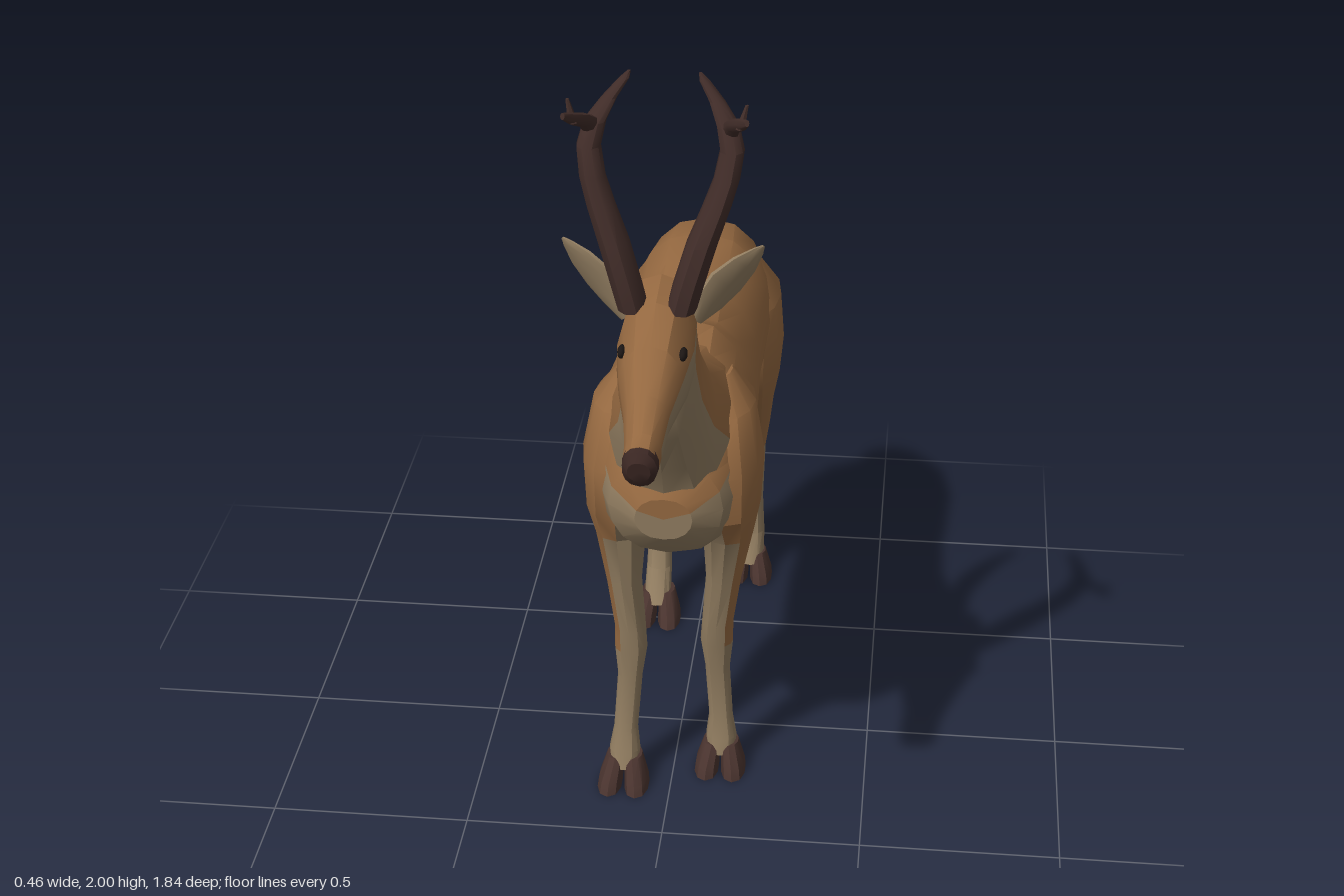
import * as THREE from 'three';
import { toCreasedNormals } from 'three/addons/utils/BufferGeometryUtils.js';

const mat = (name, color) => Object.assign(new THREE.MeshStandardMaterial({ color }), { name });

export function createModel() {
  const model = new THREE.Group();
  model.name = 'antelope';
  const fur = mat('brown fur', 0x946840);
  const pale = mat('pale fur', 0x8f7b5f);
  const horn = mat('antler', 0x402c28);
  const hoofMat = mat('hoof', 0x49332e);
  const noseMat = mat('nose', 0x3b2723);
  const eyeMat = mat('eye', 0x1c1614);

  // Skin a row of rings. Each ring: [z0, y0, z1, y1, half width, centre x]; it runs
  // from point 0 (angle 0) to point 1 (angle PI) and bulges sideways.
  // paint(ringIndex, angle) picks the material of a face.
  function loft(name, rings, paint, { side = 1, segs = 14, crease = 0.55 } = {}) {
    const pts = rings.map(([z0, y0, z1, y1, hw, xc = 0]) =>
      Array.from({ length: segs }, (_, j) => {
        const a = (j / segs) * Math.PI * 2, t = 0.5 - 0.5 * Math.cos(a), s = Math.sin(a);
        const x = xc + hw * Math.sign(s) * Math.abs(s) ** 0.85;
        return new THREE.Vector3(x * side, y0 + (y1 - y0) * t, z0 + (z1 - z0) * t);
      }));
    const faces = new Map();
    const add = (m, ...tri) => {
      if (!faces.has(m)) faces.set(m, []);
      faces.get(m).push(tri);
    };
    const last = rings.length - 1;
    const mid = (r) => r.reduce((s, p) => s.add(p), new THREE.Vector3()).divideScalar(segs);
    const c0 = mid(pts[0]), c1 = mid(pts[last]);
    for (let j = 0; j < segs; j++) {
      const k = (j + 1) % segs, a = ((j + 0.5) / segs) * Math.PI * 2;
      for (let i = 0; i < last; i++) {
        const m = paint(i, a), p = pts[i], q = pts[i + 1];
        add(m, p[j], p[k], q[k]);
        add(m, p[j], q[k], q[j]);
      }
      add(paint(0, a), c0, pts[0][k], pts[0][j]);
      add(paint(last - 1, a), c1, pts[last][j], pts[last][k]);
    }
    // Turn the skin outward whichever way the rings run
    let volume = 0;
    const cross = new THREE.Vector3();
    for (const list of faces.values())
      for (const [a, b, c] of list) volume += a.dot(cross.crossVectors(b, c));
    const pos = [], mats = [], geo = new THREE.BufferGeometry();
    for (const [m, list] of faces) {
      geo.addGroup(pos.length / 3, list.length * 3, mats.length);
      mats.push(m);
      for (const [a, b, c] of list)
        for (const v of volume > 0 ? [a, b, c] : [a, c, b]) pos.push(v.x, v.y, v.z);
    }
    geo.setAttribute('position', new THREE.Float32BufferAttribute(pos, 3));
    const mesh = new THREE.Mesh(toCreasedNormals(geo, crease), mats);
    mesh.name = name;
    model.add(mesh);
    return mesh;
  }
  const low = (a, limit) => 0.5 - 0.5 * Math.cos(a) < limit;
  const plain = (m) => () => m;

  // Torso: [z, bottom, top, half width], rump to chest
  const torso = [
    [-0.8, 0.92, 1.08, 0.06], [-0.77, 0.8, 1.13, 0.13], [-0.68, 0.75, 1.18, 0.17],
    [-0.52, 0.74, 1.205, 0.19], [-0.38, 0.74, 1.195, 0.185], [-0.25, 0.69, 1.18, 0.18],
    [-0.08, 0.69, 1.18, 0.187], [0.05, 0.7, 1.235, 0.19], [0.18, 0.7, 1.21, 0.19],
    [0.3, 0.71, 1.12, 0.178], [0.39, 0.765, 1.02, 0.14], [0.44, 0.83, 0.94, 0.07],
  ].map(([z, b, t, w]) => [z, b, z, t, w]);
  loft('torso', torso,
    (i, a) => (i < 1 || low(a, i >= 9 ? 0.75 : 0.3) ? pale : fur), { segs: 16 });

  // Neck: throat point, nape point, half width
  loft('neck', [
    [0.42, 0.86, 0.02, 1.22, 0.15], [0.42, 0.93, 0.12, 1.215, 0.15],
    [0.47, 1.03, 0.22, 1.235, 0.118], [0.54, 1.15, 0.29, 1.32, 0.095],
    [0.58, 1.25, 0.35, 1.43, 0.085], [0.56, 1.34, 0.41, 1.52, 0.08],
  ], (i, a) => (low(a, 0.3) ? pale : fur));

  // Head: jaw point, brow point, half width
  loft('head', [
    [0.45, 1.33, 0.4, 1.5, 0.06], [0.52, 1.27, 0.45, 1.54, 0.085],
    [0.6, 1.25, 0.57, 1.525, 0.09], [0.67, 1.26, 0.68, 1.47, 0.075],
    [0.76, 1.26, 0.77, 1.395, 0.052], [0.83, 1.235, 0.85, 1.345, 0.042],
    [0.88, 1.235, 0.895, 1.335, 0.04],
  ], (i, a) => (low(a, i < 5 ? 0.5 : 0.3) ? pale : fur));
  loft('nose', [
    [0.875, 1.237, 0.885, 1.336, 0.041], [0.9, 1.24, 0.91, 1.33, 0.039],
    [0.915, 1.26, 0.924, 1.31, 0.026],
  ], plain(noseMat));

  // Tail
  loft('tail', [
    [-0.7, 1.06, -0.7, 1.18, 0.05], [-0.77, 1.04, -0.79, 1.13, 0.06],
    [-0.8, 1.0, -0.86, 1.06, 0.058], [-0.84, 0.94, -0.905, 0.97, 0.045],
    [-0.88, 0.89, -0.915, 0.905, 0.02],
  ], plain(fur), { segs: 10 });

  // Legs, antlers: [y, back z, front z, centre x, half width]
  const upright = (rows, shift = () => 0) => rows.map(([y, b, f, xc, hw]) =>
    [b + shift(y), y, f + shift(y), y, hw, xc]);
  const foreleg = [
    [1.15, 0.09, 0.2, 0.1, 0.04], [1.08, 0.05, 0.29, 0.115, 0.085], [0.95, 0.04, 0.36, 0.125, 0.1],
    [0.82, 0.06, 0.35, 0.13, 0.088], [0.72, 0.085, 0.27, 0.135, 0.065],
    [0.58, 0.125, 0.245, 0.125, 0.045], [0.44, 0.13, 0.22, 0.11, 0.04],
    [0.38, 0.13, 0.215, 0.108, 0.042], [0.3, 0.14, 0.2, 0.11, 0.032],
    [0.15, 0.14, 0.2, 0.12, 0.031], [0.09, 0.135, 0.215, 0.122, 0.04],
    [0.05, 0.145, 0.225, 0.122, 0.036],
  ];
  const hindleg = [
    [1.1, -0.72, -0.48, 0.08, 0.06], [1.0, -0.78, -0.42, 0.11, 0.1], [0.88, -0.77, -0.41, 0.12, 0.1],
    [0.77, -0.735, -0.45, 0.125, 0.085], [0.65, -0.78, -0.56, 0.13, 0.06],
    [0.52, -0.853, -0.665, 0.13, 0.045], [0.42, -0.85, -0.755, 0.125, 0.036],
    [0.25, -0.835, -0.77, 0.125, 0.031], [0.13, -0.85, -0.775, 0.125, 0.036],
    [0.05, -0.82, -0.73, 0.125, 0.038],
  ];
  const antler = [
    [1.5, 0.5, 0.59, 0.055, 0.035], [1.56, 0.5, 0.59, 0.07, 0.036], [1.66, 0.485, 0.575, 0.1, 0.036],
    [1.74, 0.475, 0.55, 0.13, 0.033], [1.8, 0.46, 0.53, 0.15, 0.03],
    [1.86, 0.44, 0.505, 0.16, 0.028], [1.91, 0.42, 0.48, 0.148, 0.026],
    [1.95, 0.39, 0.43, 0.12, 0.018], [1.985, 0.37, 0.395, 0.09, 0.012], [2, 0.37, 0.38, 0.08, 0.004],
  ];

  for (const side of [1, -1]) {
    const tag = side > 0 ? 'left' : 'right';
    // The right legs stride ahead of the left ones
    const stride = (reach, top) => (y) => (side > 0 ? 0 : reach * Math.max(0, 1 - y / top));
    const foreStride = stride(0.095, 0.8), hindStride = stride(0.265, 0.85);
    const legPaint = (knee) => (i, a) => (i < knee && Math.sin(a) > -0.1 ? fur : pale);
    loft(tag + 'Foreleg', upright(foreleg, foreStride),
      (i, a) => (i < 4 || (i < 7 && Math.sin(a) > 0.3) ? (Math.sin(a) > -0.1 ? fur : pale) : pale),
      { side, segs: 12 });
    loft(tag + 'Hindleg', upright(hindleg, hindStride), legPaint(6), { side, segs: 12 });

    // Cloven hooves: two toes each
    for (const [name, heel, shift] of [['Fore', 0.14, foreStride], ['Hind', -0.825, hindStride]])
      for (const toe of [-1, 1])
        loft(tag + name + 'Hoof', upright([
          [0, heel, heel + 0.13, 0.122 + toe * 0.035, 0.032],
          [0.025, heel, heel + 0.12, 0.122 + toe * 0.033, 0.031],
          [0.075, heel + 0.005, heel + 0.075, 0.122 + toe * 0.022, 0.024],
        ], shift), plain(hoofMat), { side, segs: 10 });

    // Antlers with a forward tine and small prong
    loft(tag + 'Antler', upright(antler), plain(horn), { side, segs: 9, crease: 0.8 });
    loft(tag + 'Tine', [
      [0.45, 1.86, 0.45, 1.92, 0.02, 0.15], [0.5, 1.91, 0.5, 1.945, 0.017, 0.165],
      [0.55, 1.935, 0.55, 1.965, 0.013, 0.185], [0.585, 1.96, 0.58, 1.975, 0.005, 0.2],
    ], plain(horn), { side, segs: 8, crease: 0.8 });
    loft(tag + 'Prong', upright([[1.94, 0.53, 0.56, 0.183, 0.011], [1.99, 0.53, 0.54, 0.196, 0.004]]),
      plain(horn), { side, segs: 6 });

    // Ears: a cupped leaf swung outward
    const ear = loft(tag + 'Ear', [
      [0, 0, 0.02, 0, 0.02], [-0.012, 0.05, 0.014, 0.05, 0.045], [-0.018, 0.11, 0.01, 0.11, 0.055],
      [-0.012, 0.17, 0.01, 0.17, 0.042], [-0.004, 0.215, 0.008, 0.215, 0.018], [0, 0.232, 0.006, 0.232, 0.004],
    ], plain(pale), { segs: 10 });
    ear.geometry.rotateY(0.75 * side).rotateZ(-0.72 * side).rotateX(-0.2).translate(0.075 * side, 1.44, 0.46);

    // Eyes
    const eye = new THREE.Mesh(new THREE.SphereGeometry(0.02, 10, 8), eyeMat);
    eye.name = tag + 'Eye';
    eye.scale.set(0.5, 0.7, 1.2);
    eye.position.set(0.069 * side, 1.437, 0.645);
    model.add(eye);
  }
  return model;
}
